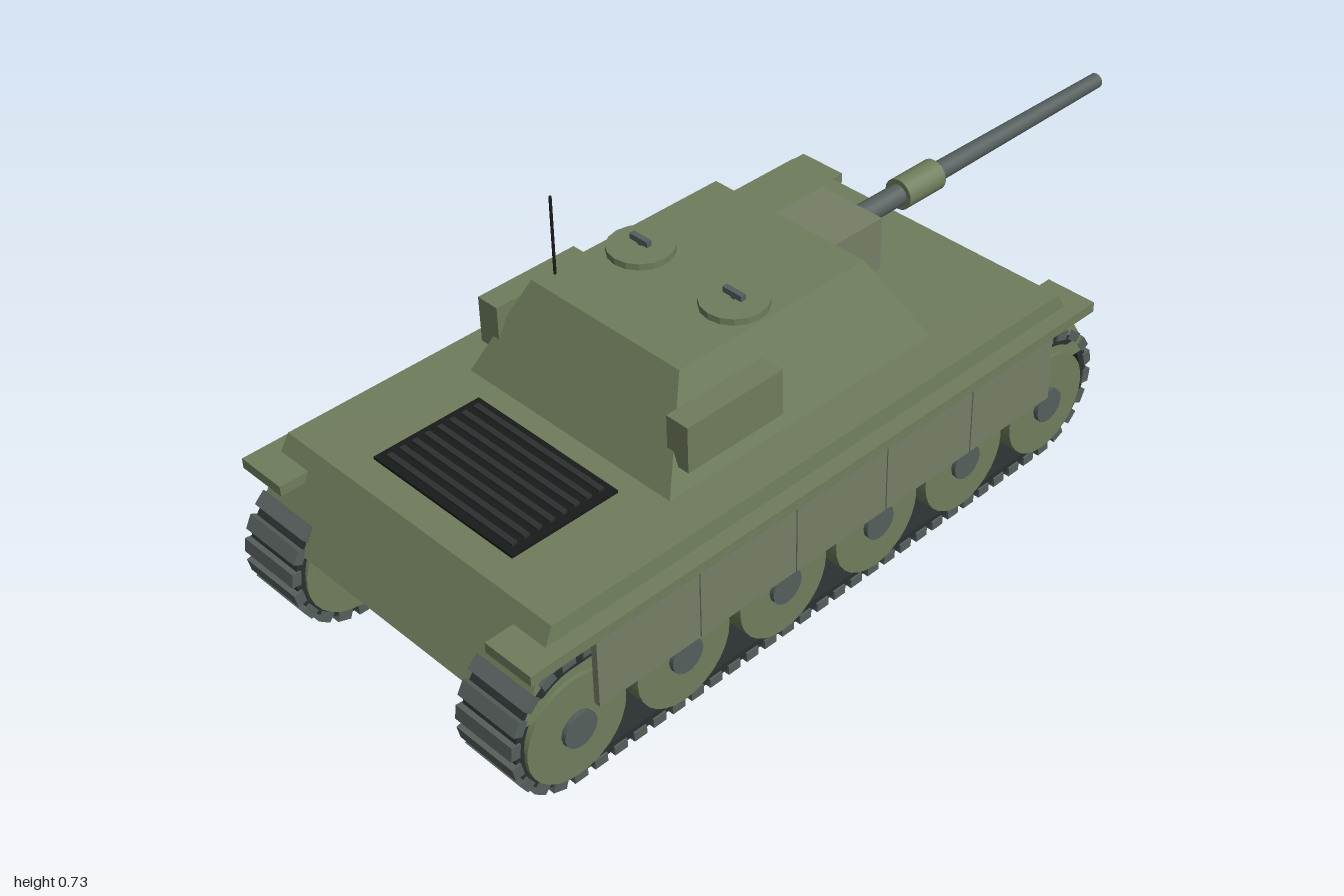
import * as THREE from 'three';

const mat = (color, flat = false) => new THREE.MeshStandardMaterial({ color, flatShading: flat });
const GREEN = mat(0x6f7d5b, true);
const OLIVE = mat(0x767f67, true);
const ROUND_GREEN = mat(0x6f7d5b);
const STEEL = mat(0x555f5d);
const LINK = mat(0x565f5d, true);
const DARK = mat(0x2b3031, true);
const BLACK = mat(0x191b1b, true);

function add(parent, name, geometry, material, x = 0, y = 0, z = 0) {
  const mesh = new THREE.Mesh(geometry, material);
  mesh.name = name;
  mesh.position.set(x, y, z);
  parent.add(mesh);
  return mesh;
}

// Box given by its limits on each axis
function block(parent, name, material, [x0, x1], [y0, y1], [z0, z1]) {
  return add(parent, name, new THREE.BoxGeometry(x1 - x0, y1 - y0, z1 - z0), material,
    (x0 + x1) / 2, (y0 + y1) / 2, (z0 + z1) / 2);
}

// Block whose bottom and top rectangles differ: { y, x: half width, z: [min, max] }
function taperedBlock(parent, name, material, bottom, top) {
  const geometry = new THREE.BoxGeometry(2, 2, 2);
  const p = geometry.attributes.position;
  for (let i = 0; i < p.count; i++) {
    const r = p.getY(i) > 0 ? top : bottom;
    p.setXYZ(i, p.getX(i) * r.x, r.y, p.getZ(i) > 0 ? r.z[1] : r.z[0]);
  }
  geometry.computeVertexNormals();
  return add(parent, name, geometry, material);
}

// Round piece along z, from z0 to z1
function barrelPiece(parent, name, material, r0, r1, z0, z1) {
  const geometry = new THREE.CylinderGeometry(r1, r0, z0 - z1, 20).rotateX(-Math.PI / 2);
  return add(parent, name, geometry, material, 0, 0.48, (z0 + z1) / 2);
}

const TRACK = { y: 0.15, front: -0.394, rear: 0.855, x: 0.304, width: 0.146 };

// Stadium outline in (z, y)
function stadium(PathType, r) {
  const path = new PathType();
  path.absarc(TRACK.rear, TRACK.y, r, -Math.PI / 2, Math.PI / 2, false);
  path.absarc(TRACK.front, TRACK.y, r, Math.PI / 2, Math.PI * 1.5, false);
  path.closePath();
  return path;
}

function createTrack(side) {
  const track = new THREE.Group();
  track.name = side > 0 ? 'leftTrack' : 'rightTrack';

  // Continuous belt
  const shape = stadium(THREE.Shape, 0.136);
  shape.holes.push(stadium(THREE.Path, 0.116));
  const belt = new THREE.ExtrudeGeometry(shape, { depth: 0.138, bevelEnabled: false, curveSegments: 20 });
  belt.translate(0, 0, -0.069).rotateY(-Math.PI / 2);
  add(track, 'trackBelt', belt, DARK, side * TRACK.x, 0, 0);

  // Link pads evenly spaced round the belt
  const count = 72, r = 0.137;
  const straight = TRACK.rear - TRACK.front, arc = Math.PI * r;
  const padGeometry = new THREE.BoxGeometry(TRACK.width, 0.02, 0.03);
  for (let i = 0; i < count; i++) {
    let d = (i / count) * 2 * (straight + arc);
    const lower = d >= straight + arc;
    if (lower) d -= straight + arc;
    const turn = Math.max(0, d - straight) / r;
    const angle = (lower ? Math.PI : 0) + turn;
    const along = Math.min(d, straight);
    const z = lower ? TRACK.rear - along : TRACK.front + along;
    add(track, 'trackLink', padGeometry, LINK, side * TRACK.x,
      TRACK.y + r * Math.cos(angle), z + r * Math.sin(angle)).rotation.x = angle;
  }

  // Road wheels with hubs
  const wheel = new THREE.CylinderGeometry(0.112, 0.112, 0.15, 28).rotateZ(Math.PI / 2);
  const hub = new THREE.CylinderGeometry(0.037, 0.037, 0.02, 14).rotateZ(Math.PI / 2);
  for (let i = 0; i < 6; i++) {
    const z = 0.86 - i * 0.2508;
    add(track, 'roadWheel', wheel, ROUND_GREEN, side * 0.306, 0.137, z);
    add(track, 'wheelHub', hub, STEEL, side * 0.381, 0.137, z);
  }
  return track;
}

export function createModel() {
  const model = new THREE.Group();
  model.name = 'tank';

  // Hull
  const hull = new THREE.Group();
  hull.name = 'hull';
  model.add(hull);
  block(hull, 'lowerHull', BLACK, [-0.24, 0.24], [0.097, 0.212], [-0.43, 0.89]);
  taperedBlock(hull, 'upperHull', GREEN,
    { y: 0.21, x: 0.376, z: [-0.523, 0.97] }, { y: 0.375, x: 0.362, z: [-0.432, 0.885] });

  // Engine grille on the rear deck
  block(hull, 'engineGrille', BLACK, [-0.19, 0.19], [0.373, 0.381], [0.58, 0.823]);
  for (let i = 0; i < 8; i++) {
    const z = 0.602 + i * 0.0285;
    block(hull, 'grilleSlat', DARK, [-0.172, 0.172], [0.379, 0.387], [z - 0.006, z + 0.006]);
  }

  // Both running sides
  for (const s of [-1, 1]) {
    model.add(createTrack(s));
    const fender = new THREE.BoxGeometry(0.115, 0.022, 1.468);
    add(hull, 'fender', fender, GREEN, s * 0.3415, 0.329, 0.231);
    const skirt = new THREE.BoxGeometry(0.014, 0.155, 0.238);
    for (let i = 0; i < 5; i++) {
      add(hull, 'sideSkirt', skirt, OLIVE, s * 0.388, 0.244, 0.701 - i * 0.2408);
    }
  }

  // Turret
  const turret = new THREE.Group();
  turret.name = 'turret';
  model.add(turret);
  taperedBlock(turret, 'turretBody', GREEN,
    { y: 0.374, x: 0.272, z: [-0.155, 0.533] }, { y: 0.568, x: 0.197, z: [-0.043, 0.432] });
  const bin = new THREE.BoxGeometry(0.053, 0.1, 0.236);
  const hatch = new THREE.CylinderGeometry(0.067, 0.067, 0.016, 16);
  const handle = new THREE.BoxGeometry(0.048, 0.012, 0.012);
  const post = new THREE.BoxGeometry(0.01, 0.014, 0.008);
  for (const s of [-1, 1]) {
    add(turret, 'stowageBin', bin, GREEN, s * 0.2535, 0.47, 0.376);
    add(turret, 'hatch', hatch, GREEN, s * 0.124, 0.574, 0.225);
    add(turret, 'hatchHandle', handle, STEEL, s * 0.124, 0.593, 0.225);
    add(turret, 'handlePost', post, STEEL, s * 0.124, 0.584, 0.225);
  }
  add(turret, 'antenna', new THREE.CylinderGeometry(0.003, 0.003, 0.17, 8), BLACK, -0.181, 0.652, 0.388);

  // Gun
  const gun = new THREE.Group();
  gun.name = 'gun';
  turret.add(gun);
  block(gun, 'mantlet', OLIVE, [-0.08, 0.08], [0.405, 0.525], [-0.222, -0.06]);
  barrelPiece(gun, 'barrelBase', STEEL, 0.024, 0.023, -0.2, -0.37);
  barrelPiece(gun, 'barrelSleeve', ROUND_GREEN, 0.034, 0.034, -0.36, -0.467);
  barrelPiece(gun, 'barrel', STEEL, 0.021, 0.017, -0.46, -1.0);

  return model;
}
